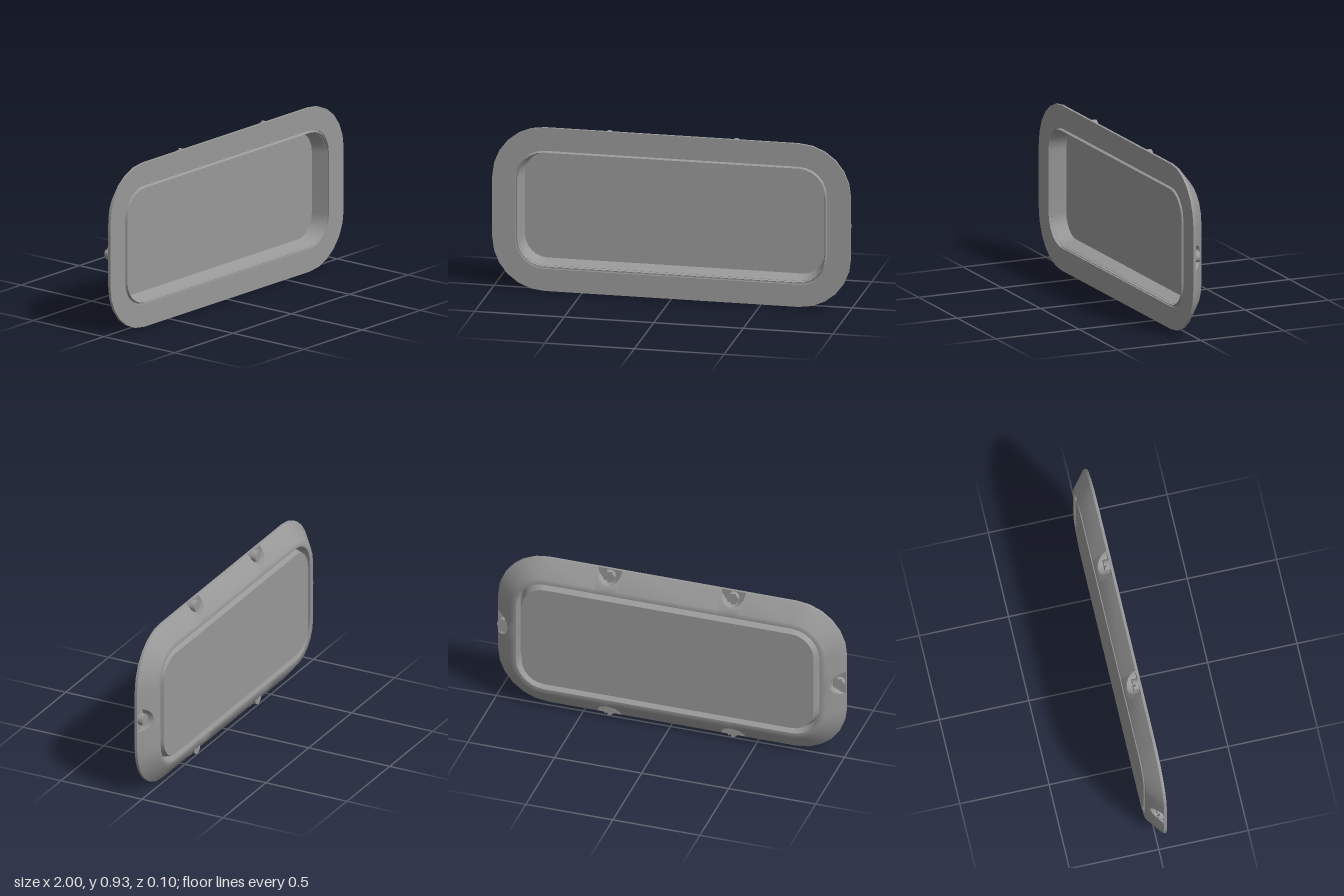
import * as THREE from 'three';

const W = 1, H = 0.465, R = 0.29;      // half width, half height, corner radius
const CUT = 0.07, BITE = 0.076;        // half width and depth of the screw recesses
const BACK = -0.047, LEDGE = 0.03, FRONT = 0.045;
const SLOPE = 0.095, HOLE = 0.127;     // insets of the back rim and the opening
const SCREW_X = 0.355;

const material = new THREE.MeshStandardMaterial({ color: 0x999999, side: THREE.DoubleSide });

// Outline points with outward normals; cut is how far a recess bites inward
function makeOutline() {
  const pts = [];
  const sides = [
    { angle: 0, reach: W, half: H - R, screws: [0] },
    { angle: 90, reach: H, half: W - R, screws: [-SCREW_X, SCREW_X] },
    { angle: 180, reach: W, half: H - R, screws: [0] },
    { angle: 270, reach: H, half: W - R, screws: [-SCREW_X, SCREW_X] },
  ];
  const bites = 8, bends = 6;
  for (const { angle, reach, half, screws } of sides) {
    const a = THREE.MathUtils.degToRad(angle), c = Math.cos(a), s = Math.sin(a);
    const add = (t, cut) => pts.push({ x: c * reach - s * t, y: s * reach + c * t, nx: c, ny: s, cut });
    add(-half, 0);
    for (const m of screws) {
      for (let k = 0; k <= bites; k++) {
        const th = Math.PI * k / bites;
        add(m - CUT * Math.cos(th), k % bites ? BITE * Math.sin(th) : 0);
      }
    }
    add(half, 0);
    // corner that follows this side
    const ex = c * (reach - R) - s * half, ey = s * (reach - R) + c * half;
    for (let k = 1; k < bends; k++) {
      const b = a + Math.PI / 2 * k / bends, nx = Math.cos(b), ny = Math.sin(b);
      pts.push({ x: ex + nx * R, y: ey + ny * R, nx, ny, cut: 0 });
    }
  }
  return pts;
}
const outline = makeOutline();

// Sweeps a profile of [inset, z] pairs round the outline, smooth within the strip
function sweep(profile) {
  const pos = [], index = [], n = outline.length;
  const rows = outline.map(profile), m = rows[0].length;
  outline.forEach((p, i) => rows[i].forEach(([d, z]) =>
    pos.push(p.x - p.nx * d, p.y - p.ny * d + H, z)));
  for (let i = 0; i < n; i++) {
    const k = (i + 1) % n;
    for (let j = 0; j < m - 1; j++) {
      const a = i * m + j, b = k * m + j;
      const flat = r => r[j][0] === r[j + 1][0] && r[j][1] === r[j + 1][1];
      if (!flat(rows[i])) index.push(a, b, a + 1);
      if (!flat(rows[k])) index.push(b, b + 1, a + 1);
    }
  }
  const g = new THREE.BufferGeometry();
  g.setAttribute('position', new THREE.Float32BufferAttribute(pos, 3));
  g.setIndex(index);
  g.computeVertexNormals();
  return g;
}

function addMesh(parent, name, geometry) {
  const mesh = new THREE.Mesh(geometry, material);
  mesh.name = name;
  parent.add(mesh);
  return mesh;
}

// Slotted head: a disc with two half-moons on top, facing the back
function makeScrew(x, y) {
  const screw = new THREE.Group();
  screw.name = 'screw';
  const r = 0.033, gap = 0.005;
  const base = addMesh(screw, 'screwBase', new THREE.CylinderGeometry(r, r, 0.018, 20));
  base.rotation.x = Math.PI / 2;
  base.position.z = 0.009;
  const a = Math.asin(gap / r);
  const moon = new THREE.Shape().absarc(0, 0, r, a, Math.PI - a, false);
  moon.closePath();
  const geo = new THREE.ExtrudeGeometry(moon, { depth: 0.012, bevelEnabled: false, curveSegments: 12 });
  for (const side of [0, 1]) {
    const half = addMesh(screw, 'screwHeadHalf', geo);
    half.rotation.z = side * Math.PI;
    half.position.z = 0.018;
  }
  // turned about y so the slot points backward
  screw.rotation.set(0, Math.PI, 1.1);
  screw.position.set(x, y, LEDGE);
  return screw;
}

export function createModel() {
  const model = new THREE.Group();
  model.name = 'windowPanel';

  // Frame: flat front, straight opening, sloped back with screw recesses
  const slopeZ = d => LEDGE + (BACK - LEDGE) * d / SLOPE;
  const frame = new THREE.Group();
  frame.name = 'frame';
  model.add(frame);
  addMesh(frame, 'frontFace', sweep(() => [[0, FRONT], [HOLE, FRONT]]));
  addMesh(frame, 'openingWall', sweep(() => [[HOLE, FRONT], [HOLE, BACK]]));
  addMesh(frame, 'backSlope', sweep(p => [[HOLE, BACK], [SLOPE, BACK], [p.cut, slopeZ(p.cut)]]));
  addMesh(frame, 'recessWall', sweep(p => [[p.cut, slopeZ(p.cut)], [p.cut, LEDGE]]));
  addMesh(frame, 'recessFloor', sweep(p => [[p.cut, LEDGE], [0, LEDGE]]));
  addMesh(frame, 'outerEdge', sweep(() => [[0, LEDGE], [0, FRONT]]));

  // Seal: tapered tray wall with a bevelled lip, joined to the frame by a thin web
  const seal = new THREE.Group();
  seal.name = 'seal';
  model.add(seal);
  addMesh(seal, 'sealWeb', sweep(() => [[HOLE, 0.035], [0.145, 0.035]]));
  addMesh(seal, 'sealOuterWall', sweep(() => [[0.162, -0.05], [0.134, 0.035]]));
  addMesh(seal, 'sealLip', sweep(() => [[0.134, 0.035], [0.14, 0.05]]));
  addMesh(seal, 'sealInnerWall', sweep(() => [[0.14, 0.05], [0.164, -0.045]]));

  // Window pane at the back of the tray
  const shape = new THREE.Shape(outline.map(p =>
    new THREE.Vector2(p.x - p.nx * 0.162, p.y - p.ny * 0.162)));
  const pane = addMesh(model, 'pane',
    new THREE.ExtrudeGeometry(shape, { depth: 0.005, bevelEnabled: false }));
  pane.position.set(0, H, -0.05);

  // Six screws in the recesses
  const inset = 0.036;
  for (const s of [-1, 1]) {
    model.add(makeScrew(s * (W - inset), H));
    for (const v of [-1, 1]) model.add(makeScrew(s * SCREW_X, H + v * (H - inset)));
  }
  return model;
}
